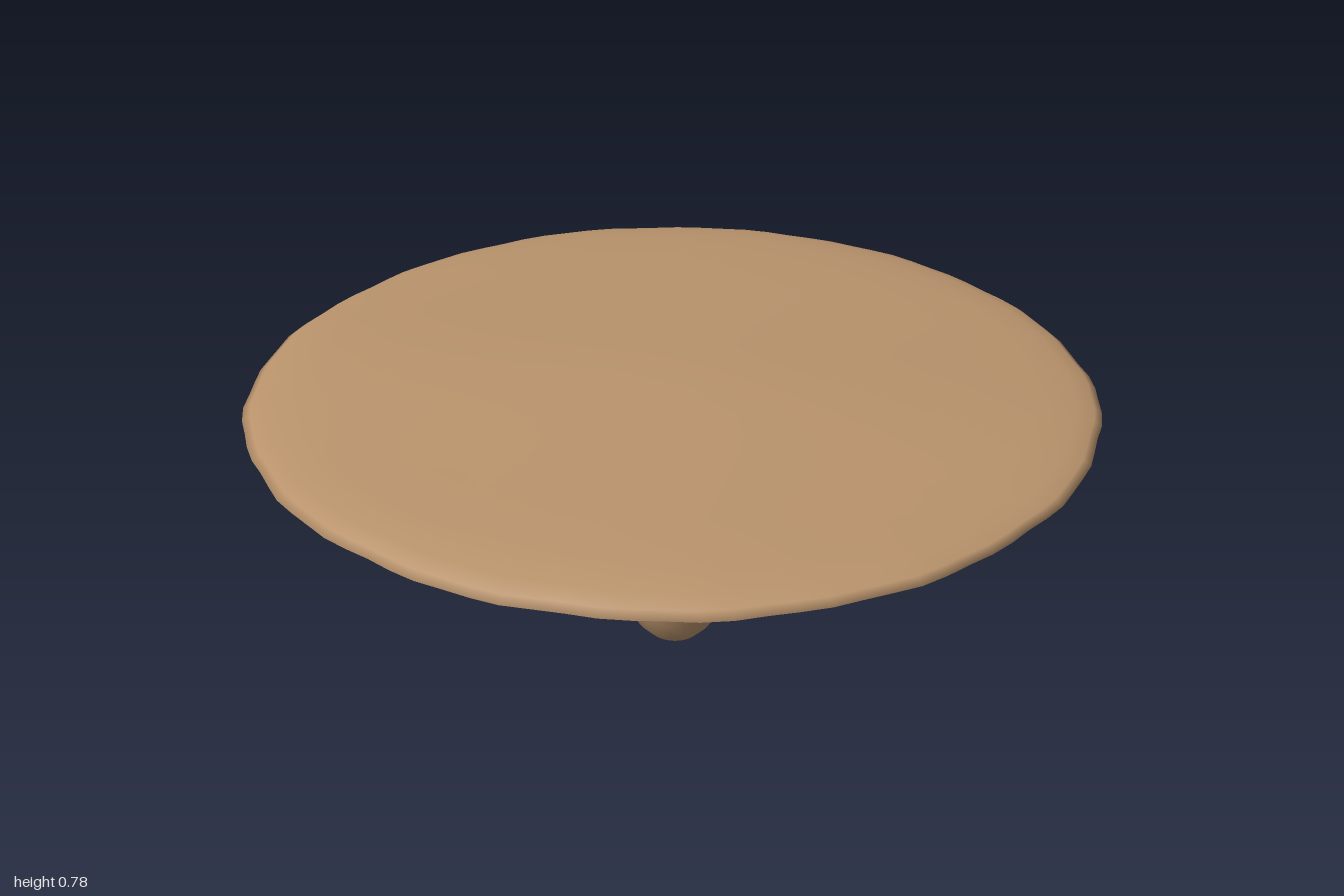
import * as THREE from 'three';
import { mergeVertices } from 'three/addons/utils/BufferGeometryUtils.js';

// Smooth lathe whose vertices are then moved by a rule, with a seamless surface
function organicLathe(profile, segments, rule) {
  const points = profile.map(([r, y]) => new THREE.Vector2(r, y));
  let geometry = new THREE.LatheGeometry(points, segments);
  geometry.deleteAttribute('uv');
  geometry.deleteAttribute('normal');
  geometry = mergeVertices(geometry, 1e-5);
  const p = geometry.attributes.position;
  const v = new THREE.Vector3();
  for (let i = 0; i < p.count; i++) {
    v.fromBufferAttribute(p, i);
    rule(v, Math.hypot(v.x, v.z), Math.atan2(v.z, v.x));
    p.setXYZ(i, v.x, v.y, v.z);
  }
  geometry.computeVertexNormals();
  return geometry;
}

export function createModel() {
  const group = new THREE.Group();
  const tan = new THREE.MeshStandardMaterial({ color: 0xb9936c });
  tan.name = 'mushroomTan';

  const add = (name, geometry) => {
    const mesh = new THREE.Mesh(geometry, tan);
    mesh.name = name;
    group.add(mesh);
  };

  // Wide flat cap with a thin, slightly ragged rim
  add('cap', organicLathe([
    [0, 0.65], [0.3, 0.65], [0.5, 0.655], [0.7, 0.663], [0.85, 0.673], [0.93, 0.685],
    [0.97, 0.695], [0.988, 0.706], [0.97, 0.719], [0.93, 0.731], [0.85, 0.742],
    [0.7, 0.752], [0.5, 0.762], [0.3, 0.768], [0.15, 0.771], [0, 0.772],
  ], 96, (v, r, a) => {
    const ragged = 0.005 * Math.cos(4 * a) + 0.003 * Math.sin(13 * a) + 0.003 * Math.sin(29 * a + 1);
    const scale = 1 + ragged * Math.pow(r, 6);
    const wave = 0.003 * Math.sin(5 * v.x + 2 * v.z) + 0.003 * Math.sin(7 * v.z - 2 * v.x + 1);
    v.y += wave * Math.min(1, 3 * (1 - Math.min(r, 1)) + 0.3);
    v.x *= scale;
    v.z *= scale;
  }));

  // Swollen underside, off centre from the stem
  add('capUnderside', organicLathe([
    [0, 0.545], [0.12, 0.546], [0.22, 0.551], [0.3, 0.566], [0.37, 0.587],
    [0.43, 0.612], [0.48, 0.64], [0.52, 0.66], [0.54, 0.68],
  ], 48, (v, r, a) => {
    const scale = 1 + 0.02 * Math.sin(3 * a + 1) * (r / 0.5);
    v.x = v.x * scale + 0.09;
    v.z = v.z * scale - 0.08;
  }));

  // Stem tapering to a rounded foot, with a soft flare under the cap
  add('stem', organicLathe([
    [0, 0], [0.035, 0.003], [0.065, 0.018], [0.095, 0.05], [0.122, 0.1], [0.143, 0.16],
    [0.157, 0.23], [0.166, 0.31], [0.168, 0.39], [0.163, 0.46], [0.154, 0.51],
    [0.152, 0.53], [0.16, 0.547], [0.185, 0.56], [0.2, 0.6],
  ], 40, (v, r, a) => {
    const scale = 1 + 0.02 * Math.sin(2 * a + 4 * v.y);
    v.x = v.x * scale + 0.003;
    v.z *= scale;
  }));

  return group;
}
